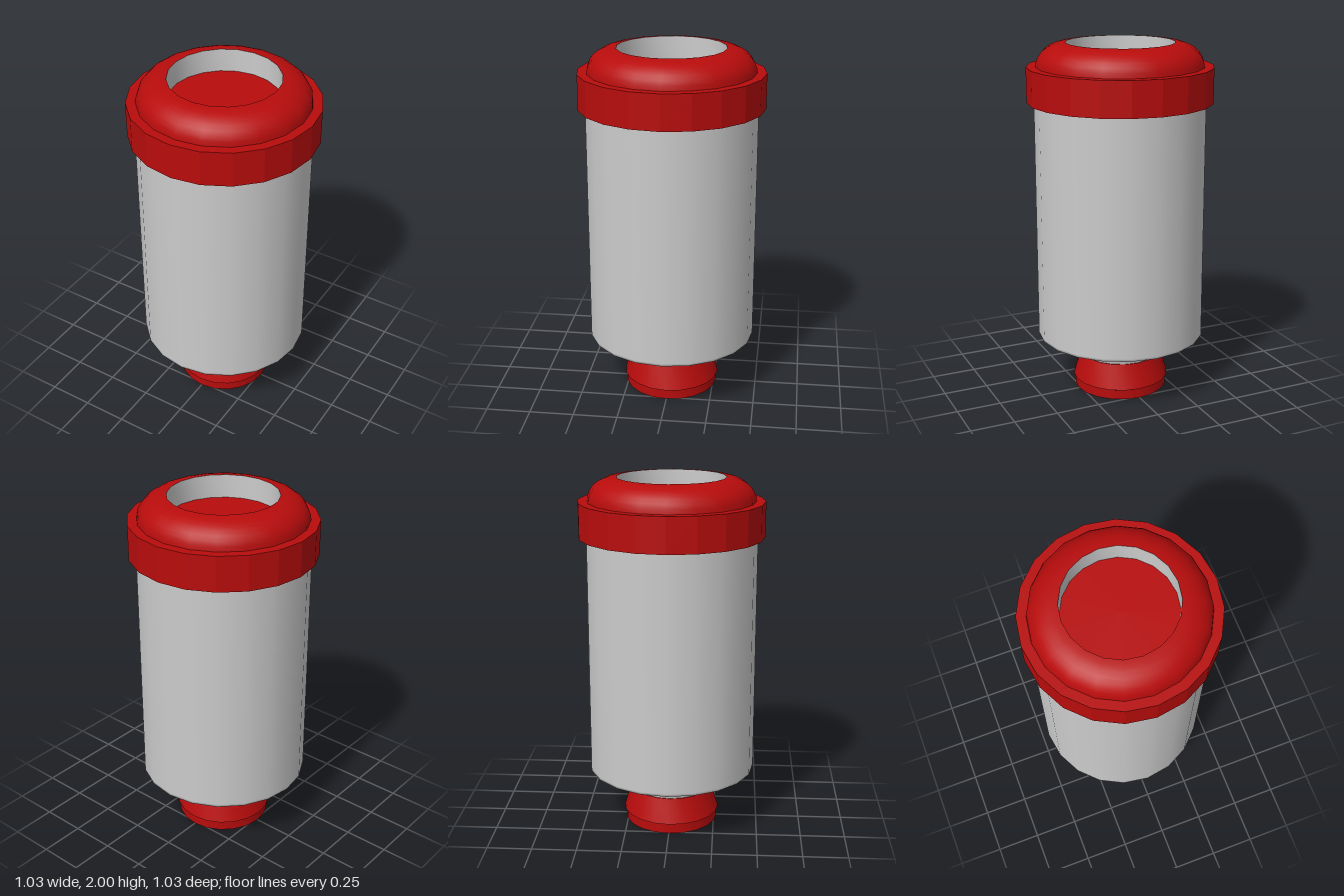
import * as THREE from 'three';
import { toCreasedNormals } from 'three/addons/utils/BufferGeometryUtils.js';

const SIDES = 20;
const grey = new THREE.MeshStandardMaterial({ color: 0xcccccc });
const red = new THREE.MeshStandardMaterial({ color: 0xb80c0c });
const redFlat = new THREE.MeshStandardMaterial({ color: 0xb80c0c, flatShading: true });

// Spins a [radius, height] profile; outer walls run upward, inner walls downward
function turned(name, profile, material, creased = true) {
  const lathe = new THREE.LatheGeometry(profile.map(([r, y]) => new THREE.Vector2(r, y)), SIDES);
  const mesh = new THREE.Mesh(creased ? toCreasedNormals(lathe, 0.6) : lathe, material);
  mesh.name = name;
  return mesh;
}

export function createModel() {
  const model = new THREE.Group();
  model.name = 'canister';

  // Main barrel with its shallow underside and tapered neck, softly blended
  model.add(turned('body', [
    [0.225, 0.19], [0.247, 0.29], [0.25, 0.305], [0.27, 0.308],
    [0.46, 0.322], [0.475, 0.326], [0.475, 0.34], [0.475, 1.69],
  ], grey, false));

  // Faceted collar; its upper face is the floor of the top recess
  const collar = new THREE.Mesh(new THREE.CylinderGeometry(0.515, 0.515, 0.195, SIDES), redFlat);
  collar.name = 'collar';
  collar.position.y = 1.7725;
  model.add(collar);

  // Rounded ring on the collar
  const dome = [];
  for (let i = 0; i <= 8; i++) {
    const a = (i / 8) * Math.PI / 2;
    dome.push([0.3 + 0.163 * Math.cos(a), 1.87 + 0.13 * Math.sin(a)]);
  }
  model.add(turned('topRing', dome, red));

  // Wall of the top recess
  model.add(turned('recessWall', [[0.3, 2], [0.3, 1.87]], grey));

  // Flared nozzle with a stepped lip and open mouth
  model.add(turned('nozzle', [
    [0.157, 0.06], [0.157, 0], [0.265, 0], [0.265, 0.055],
    [0.275, 0.06], [0.232, 0.2], [0.2, 0.2],
  ], red));

  // Bore inside the nozzle, closed at the top
  model.add(turned('bore', [[0, 0.31], [0.157, 0.31], [0.157, 0.06]], grey));

  return model;
}
